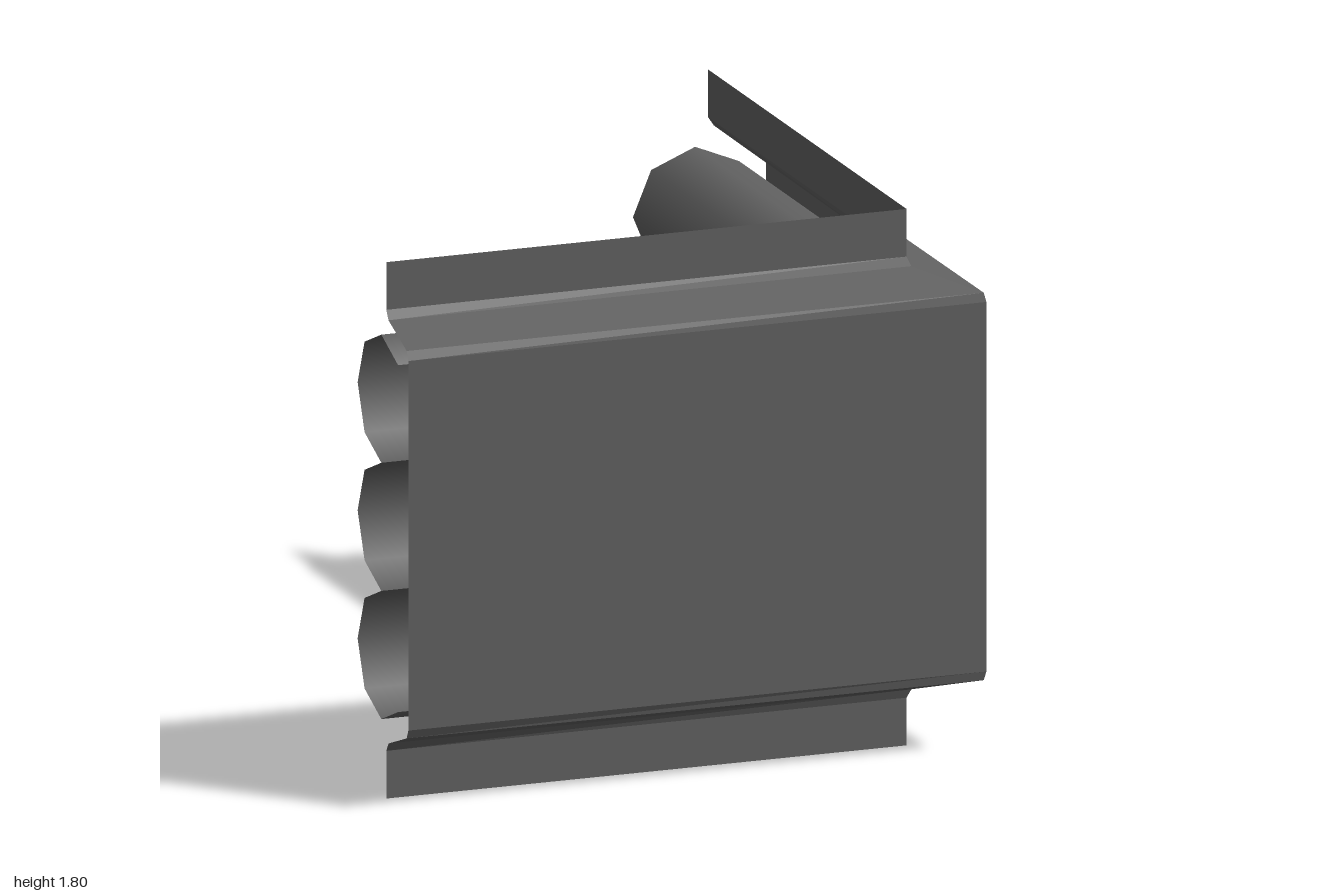
import * as THREE from 'three';

const BEND = 0.36;       // centre of the pipe bend in x and z
const PIPE_R = 0.215;
const PIPE_D = 0.755;    // distance of the pipe centres from the middle

// Sweeps a profile of [distance, y] points through stations that map a distance to [x, z].
function sweep(profile, stations) {
  const positions = [];
  const index = [];
  const n = profile.length;
  stations.forEach((station, s) => {
    profile.forEach(([d, y], j) => {
      const [x, z] = station(d);
      positions.push(x, y, z);
      if (s > 0 && j > 0) {
        const a = (s - 1) * n + j - 1;
        const b = s * n + j - 1;
        index.push(a, b, b + 1, a, b + 1, a + 1);
      }
    });
  });
  const geometry = new THREE.BufferGeometry();
  geometry.setAttribute('position', new THREE.Float32BufferAttribute(positions, 3));
  geometry.setIndex(index);
  return geometry;
}

const startEnd = d => [-1, d];
const finishEnd = d => [d, -1];

// The narrow bevels of the panel tighten slightly towards the mitre
function mitre(d) {
  const c = THREE.MathUtils.clamp(0.9 + (d - 0.9) * 1.1, 0.8, 1);
  return [c, c];
}

export function createModel() {
  const group = new THREE.Group();
  const panelMaterial = new THREE.MeshStandardMaterial({
    color: 0x616161, flatShading: true, side: THREE.DoubleSide });
  const pipeMaterial = new THREE.MeshStandardMaterial({
    color: 0x616161, side: THREE.DoubleSide });

  // Corner panel: recessed flanges, sloped shoulders and a tall face, mitred at the corner
  const lower = [[0.8, 0], [0.8, 0.16], [0.82, 0.19], [0.985, 0.25], [1, 0.28]];
  const upper = lower.map(([d, y]) => [d, 1.8 - y]).reverse();
  const panel = new THREE.Mesh(
    sweep([...lower, ...upper], [startEnd, mitre, finishEnd]), panelMaterial);
  panel.name = 'cornerPanel';
  group.add(panel);

  // Stations of the pipes: straight, rounded bend, straight
  const stations = [startEnd];
  const steps = 16;
  for (let i = 0; i <= steps; i++) {
    const t = (i / steps) * Math.PI / 2;
    stations.push(d => [BEND + (d - BEND) * Math.sin(t), BEND + (d - BEND) * Math.cos(t)]);
  }
  stations.push(finishEnd);

  // Three open-backed pipes; the outermost edges wrap one facet further round
  [['lowerPipe', 0.47, -3, 2], ['middlePipe', 0.9, -2, 2], ['upperPipe', 1.33, -2, 3]]
    .forEach(([name, y, from, to]) => {
      const angles = [];
      for (let k = to; k >= from; k--) angles.push(k * Math.PI / 4);
      const profile = angles.map(a => [PIPE_D - PIPE_R * Math.cos(a), y + PIPE_R * Math.sin(a)]);
      const geometry = sweep(profile, stations);

      // Smooth normals point straight out from the pipe's centre line
      const normals = stations.flatMap(station => angles.flatMap(a => {
        const [cx, cz] = station(PIPE_D);
        const [x, z] = station(PIPE_D - Math.cos(a));
        return [x - cx, Math.sin(a), z - cz];
      }));
      geometry.setAttribute('normal', new THREE.Float32BufferAttribute(normals, 3));

      const pipe = new THREE.Mesh(geometry, pipeMaterial);
      pipe.name = name;
      group.add(pipe);
    });

  return group;
}
